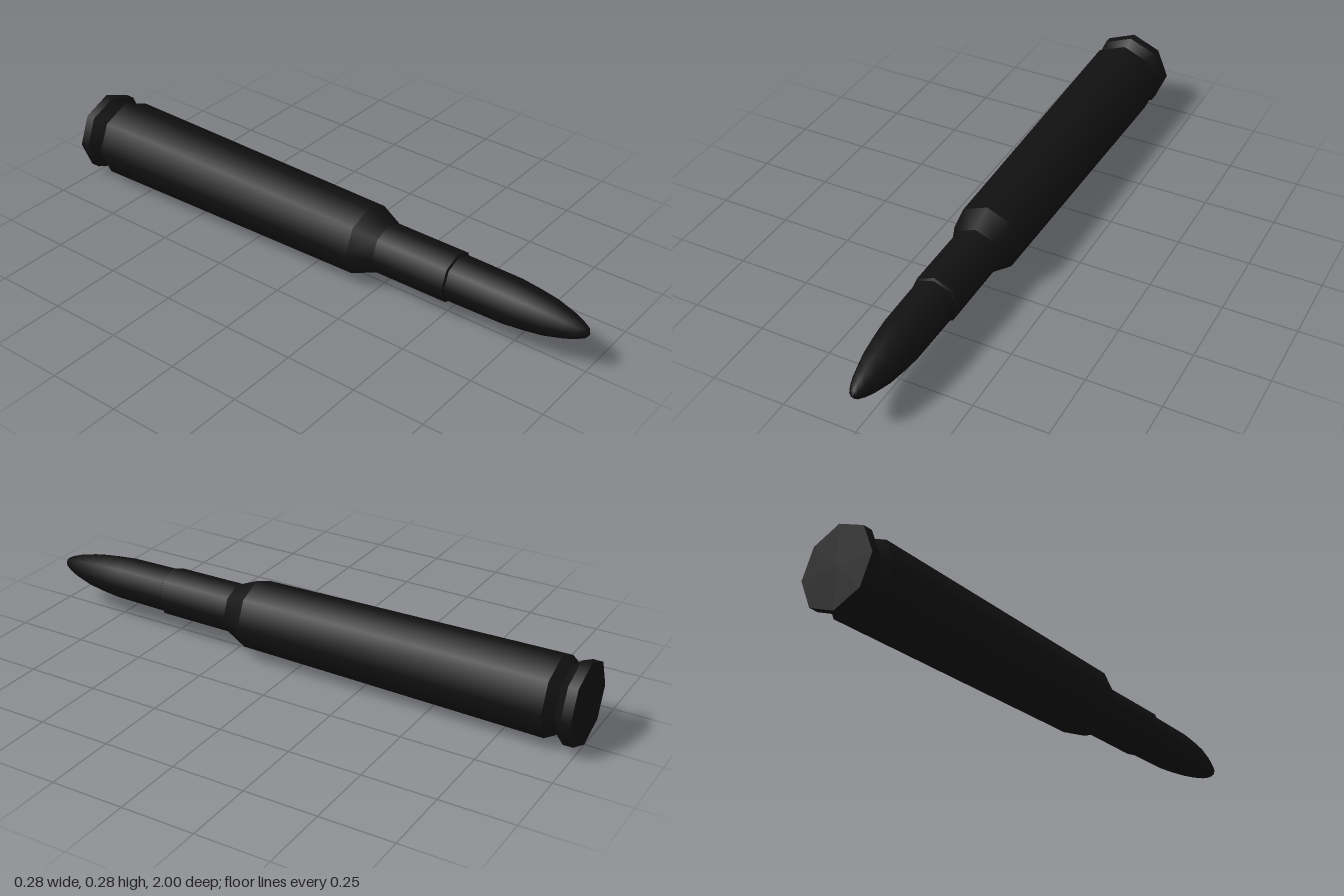
import * as THREE from 'three';

const RADIUS = 0.141;
const SIDES = 8;

export function createModel() {
  const group = new THREE.Group();
  const material = new THREE.MeshStandardMaterial({ color: 0x111111 });

  // Eight-sided turned section along z; profile points are [radius, z], back to front
  const addSection = (name, profile) => {
    const points = profile.map(([r, z]) => new THREE.Vector2(r, z));
    const geometry = new THREE.LatheGeometry(points, SIDES);
    geometry.rotateX(Math.PI / 2);
    const mesh = new THREE.Mesh(geometry, material);
    mesh.name = name;
    mesh.position.y = RADIUS;
    group.add(mesh);
  };

  // Base of the casing
  addSection('baseCap', [[0, -1], [RADIUS, -1]]);
  addSection('rim', [[RADIUS, -1], [RADIUS, -0.967]]);
  addSection('grooveBack', [[RADIUS, -0.967], [0.114, -0.937]]);
  addSection('grooveFront', [[0.114, -0.937], [0.138, -0.905]]);

  // Tapered casing, shoulder, neck and mouth
  addSection('casingBody', [[0.138, -0.905], [0.122, 0.18]]);
  addSection('shoulder', [[0.122, 0.18], [0.087, 0.26]]);
  addSection('neck', [[0.087, 0.26], [0.086, 0.525]]);
  addSection('mouth', [[0.086, 0.525], [0.079, 0.53]]);

  // Rounded pointed tip
  addSection('tip', [
    [0.079, 0.53], [0.076, 0.73], [0.069, 0.8], [0.06, 0.865],
    [0.043, 0.93], [0.03, 0.965], [0.017, 0.99], [0, 1],
  ]);

  return group;
}
